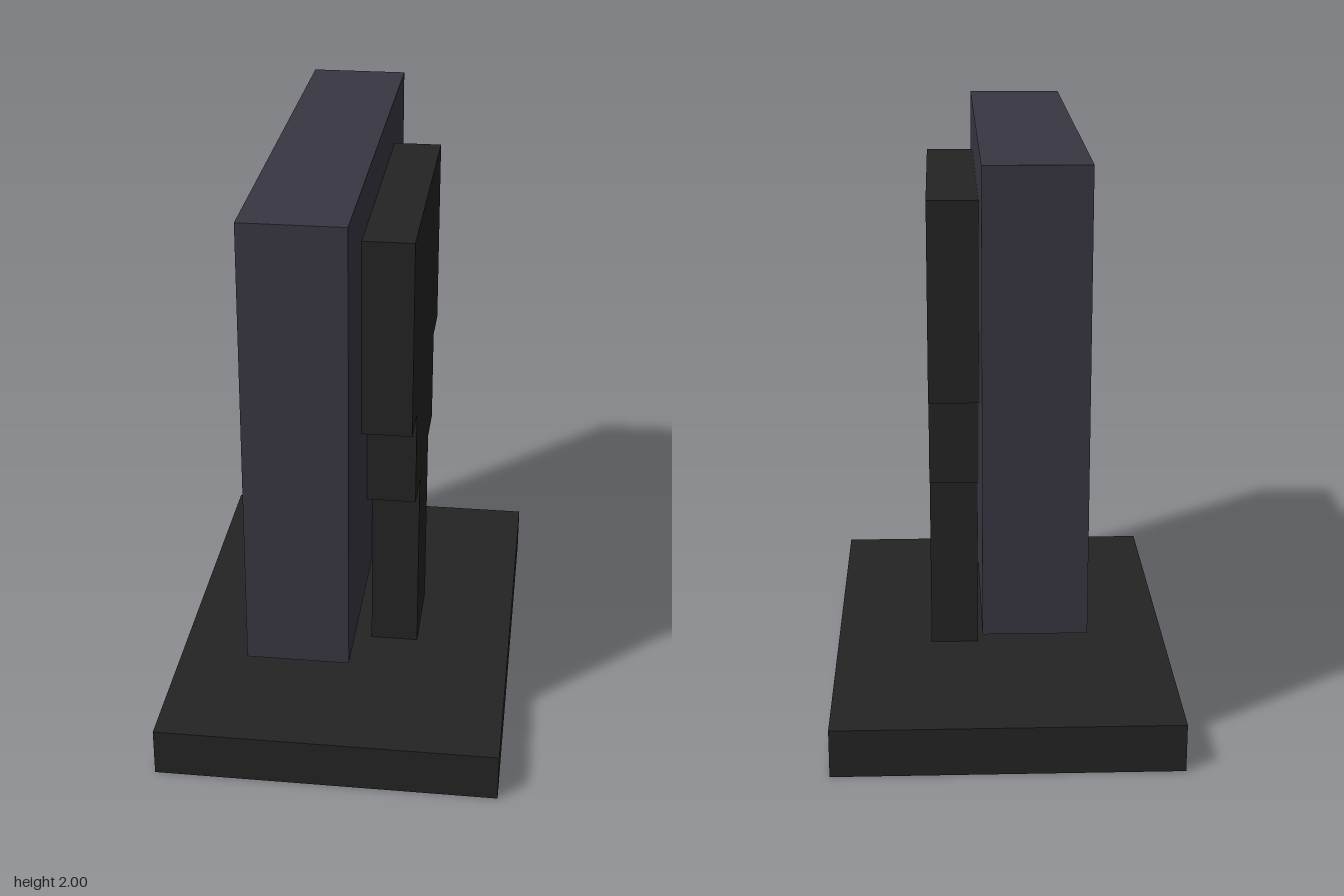
import * as THREE from 'three';

const dark = new THREE.MeshStandardMaterial({ name: 'black plastic', color: 0x232323 });
const slate = new THREE.MeshStandardMaterial({ name: 'slate casing', color: 0x373642 });
const grey = new THREE.MeshStandardMaterial({ name: 'grey bezel', color: 0x868686 });

const U = 1 / 12; // building unit

// Box given by its extents in building units
function box(name, material, [x0, x1], [y0, y1], [z0, z1]) {
  const mesh = new THREE.Mesh(
    new THREE.BoxGeometry((x1 - x0) * U, (y1 - y0) * U, (z1 - z0) * U), material);
  mesh.name = name;
  mesh.position.set((x0 + x1) / 2 * U, (y0 + y1) / 2 * U, (z0 + z1) / 2 * U);
  return mesh;
}

// Outline of a rectangle with slightly rounded corners, centred on the origin
function outline(target, w, h, r = 0.02) {
  const a = w / 2, b = h / 2;
  target.moveTo(-a + r, -b);
  target.lineTo(a - r, -b).quadraticCurveTo(a, -b, a, -b + r);
  target.lineTo(a, b - r).quadraticCurveTo(a, b, a - r, b);
  target.lineTo(-a + r, b).quadraticCurveTo(-a, b, -a, b - r);
  target.lineTo(-a, -b + r).quadraticCurveTo(-a, -b, -a + r, -b);
  return target;
}

// Thin face on the -x side of the casing
function face(name, material, shape) {
  const mesh = new THREE.Mesh(new THREE.ShapeGeometry(shape, 3), material);
  mesh.name = name;
  mesh.rotation.y = -Math.PI / 2;
  mesh.position.set(-3 * U - 0.003, 15 * U, 0);
  return mesh;
}

export function createModel() {
  const model = new THREE.Group();
  model.name = 'monitor';

  // Foot and stepped rear support
  model.add(box('base', dark, [-7, 7], [0, 2], [-10, 10]));
  model.add(box('standPost', dark, [1, 3], [2, 10], [-2, 2]));
  model.add(box('standNeck', dark, [1, 3], [10, 14], [-4, 4]));
  model.add(box('rearHousing', dark, [1, 3], [14, 22], [-6, 6]));

  // Casing with bezel ring and screen
  model.add(box('casing', slate, [-3, 1], [6, 24], [-10, 10]));
  const ring = outline(new THREE.Shape(), 16 * U, 14 * U);
  ring.holes.push(outline(new THREE.Path(), 12 * U, 10 * U));
  model.add(face('screenBezel', grey, ring));
  model.add(face('screen', dark, outline(new THREE.Shape(), 12 * U, 10 * U)));

  return model;
}
